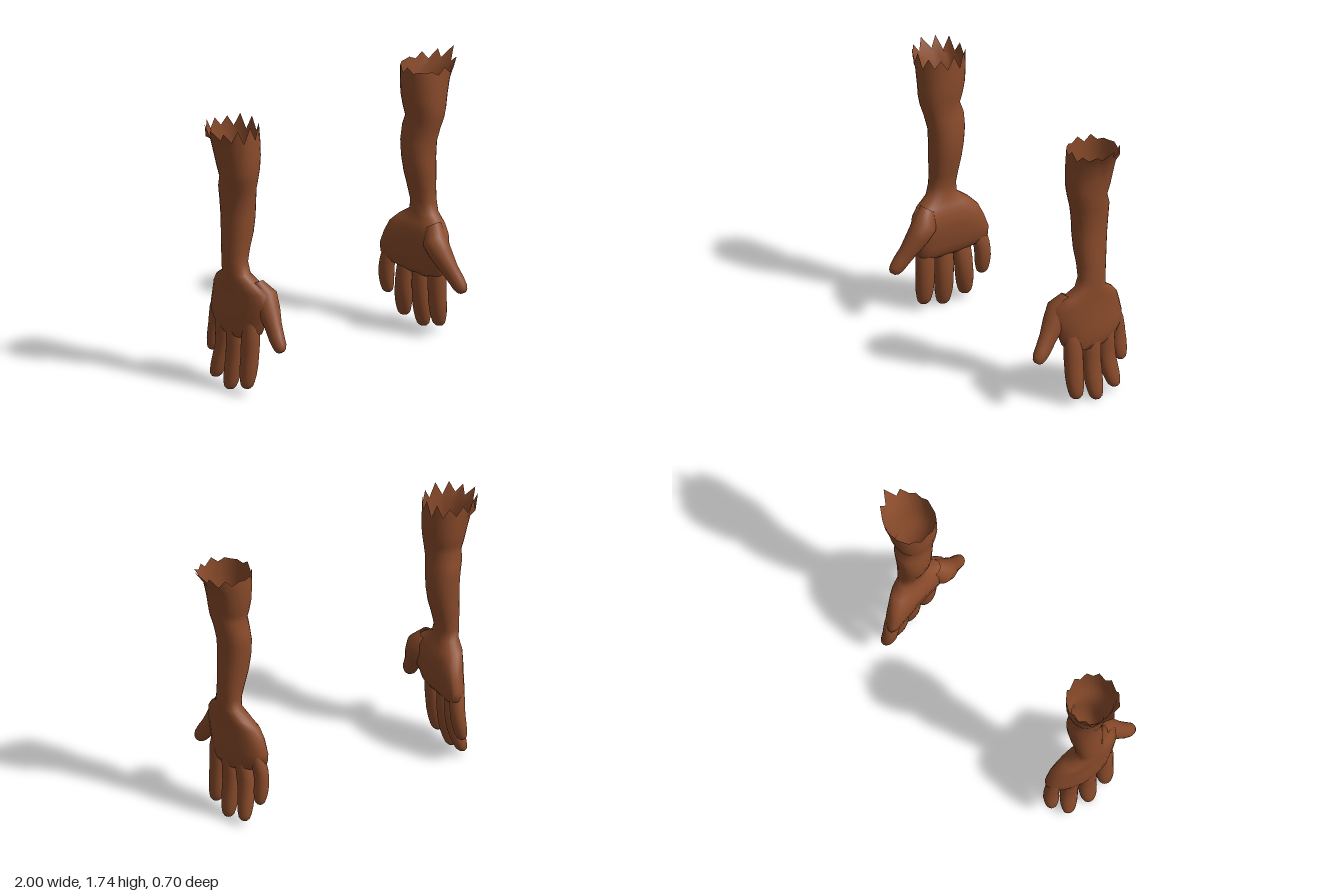
import * as THREE from 'three';

const SEG = 24;
const skin = new THREE.MeshStandardMaterial({ color: 0x8a4b2b, side: THREE.DoubleSide });
skin.name = 'brown skin';

// Skin a list of rings (top to bottom); each ring is a function of angle giving [x, y, z].
function loft(name, rings, side, capEnd) {
  const pos = [], idx = [];
  const tri = (a, b, c) => (side > 0 ? idx.push(a, b, c) : idx.push(a, c, b));
  for (const ring of rings) {
    for (let j = 0; j < SEG; j++) {
      const [x, y, z] = ring((j / SEG) * Math.PI * 2, j);
      // the -x arm is the mirror, set slightly further out
      pos.push(side > 0 ? x : -x - 0.035, y, z);
    }
  }
  for (let i = 0; i < rings.length - 1; i++) {
    for (let j = 0; j < SEG; j++) {
      const k = (j + 1) % SEG, a = i * SEG, b = a + SEG;
      tri(a + j, a + k, b + j);
      tri(a + k, b + k, b + j);
    }
  }
  if (capEnd) {
    const last = (rings.length - 1) * SEG;
    for (let j = 1; j < SEG - 1; j++) tri(last, last + j, last + j + 1);
  }
  const geo = new THREE.BufferGeometry();
  geo.setAttribute('position', new THREE.Float32BufferAttribute(pos, 3));
  geo.setIndex(idx);
  geo.computeVertexNormals();
  const mesh = new THREE.Mesh(geo, skin);
  mesh.name = name;
  return mesh;
}

const soft = (v, p) => Math.sign(v) * Math.pow(Math.abs(v), p);

// Level ring from its bounds; cup bends the edges toward the palm side.
function levelRing([y, x0, x1, z0, z1, cup = 0]) {
  const p = cup ? 0.8 : 0.92;
  return (a) => {
    const z = (z0 + z1) / 2 + ((z1 - z0) / 2) * soft(Math.sin(a), p);
    const x = (x0 + x1) / 2 + ((x1 - x0) / 2) * soft(Math.cos(a), p);
    return [x - cup * (z + 0.02) ** 2, y, z];
  };
}

// Ring of a finger: centre and radii, tipped in the yz plane.
function fingerRing([x, y, z, rx, rz], tilt) {
  return (a) => [
    x + rx * Math.cos(a),
    y + rz * Math.sin(a) * Math.sin(tilt),
    z + rz * Math.sin(a) * Math.cos(tilt),
  ];
}

// Torn upper edge: alternating teeth and a flared spike on the outer side.
function tornRing(side) {
  const base = levelRing([1.66, 0.62, 0.94, -0.205, 0.105]);
  return (a, j) => {
    const [x, , z] = base(a);
    const outer = Math.max(0, Math.cos(a)) ** 6;
    const tooth = j % 2 === 0;
    const wave = 0.012 * Math.sin(j * 2.3);
    if (side > 0) {
      const y = tooth ? 1.685 + 0.055 * outer + wave * (1 - outer) : 1.66 + wave;
      return [x + (tooth ? 0.06 * outer : 0), y, z];
    }
    return [x + (tooth ? 0.025 * outer : -0.02 * outer), tooth ? 1.705 + wave : 1.63 + wave, z];
  };
}

// y, inner x, outer x, back z, front z, cup
const armRows = [
  [1.6, 0.62, 0.9, -0.2, 0.105],
  [1.5, 0.62, 0.875, -0.19, 0.105],
  [1.42, 0.63, 0.86, -0.175, 0.103],
  [1.36, 0.638, 0.85, -0.155, 0.092],
  [1.29, 0.637, 0.835, -0.18, 0.073],
  [1.2, 0.625, 0.822, -0.18, 0.052],
  [1.1, 0.627, 0.818, -0.172, 0.047],
  [1.0, 0.642, 0.82, -0.163, 0.043],
  [0.9, 0.668, 0.822, -0.152, 0.032],
  [0.82, 0.688, 0.822, -0.145, 0.032],
  [0.75, 0.685, 0.818, -0.148, 0.055],
  [0.7, 0.665, 0.815, -0.22, 0.13, 0.3],
  [0.65, 0.645, 0.812, -0.268, 0.185, 0.5],
  [0.58, 0.64, 0.81, -0.298, 0.205, 0.6],
  [0.5, 0.655, 0.81, -0.325, 0.18, 0.7],
  [0.44, 0.665, 0.808, -0.325, 0.15, 0.7],
  [0.39, 0.68, 0.8, -0.27, 0.135, 0.7],
  [0.355, 0.705, 0.79, -0.17, 0.1, 0.7],
];

// name, knuckle, middle joint, tip, radius
const fingers = [
  ['indexFinger', [0.745, 0.46, 0.075], [0.75, 0.25, 0.07], [0.77, 0.045, 0.065], 0.062],
  ['middleFinger', [0.75, 0.45, -0.06], [0.745, 0.22, -0.065], [0.775, 0.005, -0.078], 0.062],
  ['ringFinger', [0.735, 0.46, -0.17], [0.72, 0.24, -0.19], [0.755, 0.04, -0.225], 0.06],
  ['littleFinger', [0.695, 0.5, -0.265], [0.68, 0.34, -0.298], [0.7, 0.175, -0.31], 0.053],
];

// position along the finger, share of its radius
const fingerProfile = [
  [0, 0.8], [0.15, 0.98], [0.35, 1], [0.5, 0.97], [0.65, 0.97],
  [0.8, 0.9], [0.9, 0.78], [0.965, 0.65], [1, 0.42],
];

const thumbRows = [
  [0.71, 0.7, 0.08, 0.045, 0.05],
  [0.678, 0.62, 0.125, 0.075, 0.078],
  [0.687, 0.54, 0.175, 0.067, 0.07],
  [0.703, 0.46, 0.228, 0.05, 0.057],
  [0.717, 0.4, 0.272, 0.045, 0.052],
  [0.722, 0.36, 0.302, 0.04, 0.046],
  [0.725, 0.338, 0.318, 0.03, 0.034],
  [0.727, 0.328, 0.325, 0.016, 0.018],
];

function makeArm(side) {
  const arm = new THREE.Group();
  arm.name = side > 0 ? 'leftArm' : 'rightArm';
  arm.add(loft('forearmAndPalm', [tornRing(side), ...armRows.map(levelRing)], side, true));
  for (const [name, base, mid, tip, r] of fingers) {
    const path = new THREE.CatmullRomCurve3([base, mid, tip].map((p) => new THREE.Vector3(...p)));
    const rings = fingerProfile.map(([t, s]) => {
      const p = path.getPoint(t);
      return fingerRing([p.x, p.y, p.z, r * s * 0.85, r * s], 0);
    });
    arm.add(loft(name, rings, side, true));
  }
  arm.add(loft('thumb', thumbRows.map((row) => fingerRing(row, 0.57)), side, true));
  return arm;
}

export function createModel() {
  const model = new THREE.Group();
  model.name = 'pairOfArms';
  model.add(makeArm(1), makeArm(-1));
  return model;
}
